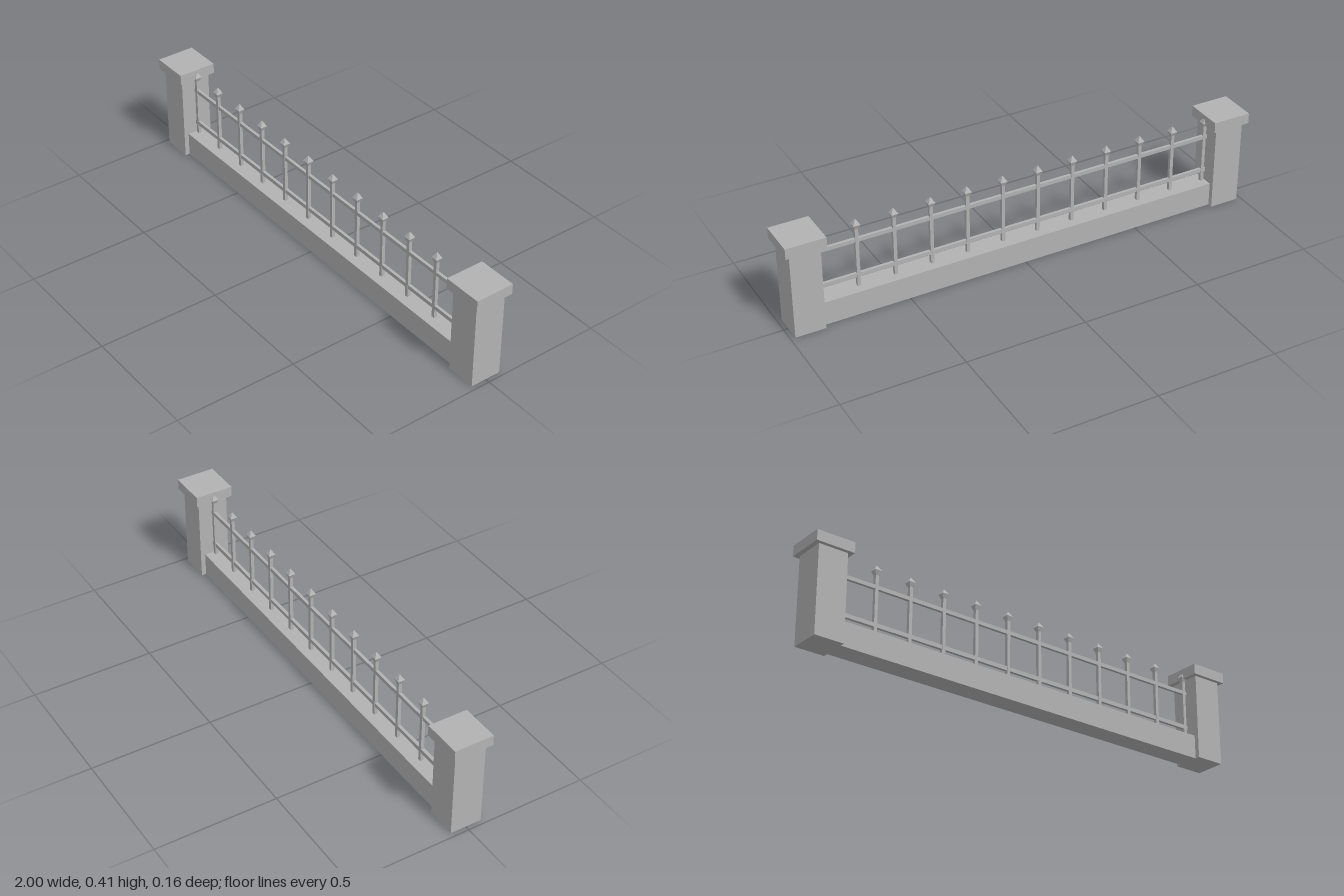
import * as THREE from 'three';

export function createModel() {
  const model = new THREE.Group();
  model.name = 'fence';
  const stone = new THREE.MeshStandardMaterial({ color: 0xb2b2b2 });
  stone.name = 'grey';
  stone.flatShading = true;

  // Box given by its centre in x, its bottom and top, and its width and depth
  const box = (name, x, y0, y1, width, depth, parent = model) => {
    const mesh = new THREE.Mesh(new THREE.BoxGeometry(width, y1 - y0, depth), stone);
    mesh.position.set(x, (y0 + y1) / 2, 0);
    mesh.name = name;
    parent.add(mesh);
  };

  // Low wall between the pillars
  box('wall', 0, 0, 0.1, 1.72, 0.09);

  // Pillars with overhanging caps
  for (const [side, s] of [['left', 1], ['right', -1]]) {
    const pillar = new THREE.Group();
    pillar.name = side + 'Pillar';
    box('post', s * 0.919, 0, 0.362, 0.124, 0.13, pillar);
    box('cap', s * 0.919, 0.362, 0.406, 0.162, 0.162, pillar);
    model.add(pillar);
  }

  // Horizontal rails
  box('lowerRail', 0, 0.139, 0.156, 1.72, 0.012);
  box('upperRail', 0, 0.294, 0.31, 1.72, 0.012);

  // Square pickets with four-sided pointed finials
  const k = Math.SQRT2;
  const profile = [[0, 0.352], [0.008 * k, 0.353], [0.0145 * k, 0.37], [0, 0.394]]
    .map(([r, y]) => new THREE.Vector2(r, y));
  const finialGeometry = new THREE.LatheGeometry(profile, 4, Math.PI / 4);
  const count = 12, spacing = 0.1533;
  for (let i = 0; i < count; i++) {
    const x = (i - (count - 1) / 2) * spacing;
    const picket = new THREE.Group();
    picket.name = 'picket' + (i + 1);
    box('bar', x, 0.1, 0.355, 0.014, 0.014, picket);
    const finial = new THREE.Mesh(finialGeometry, stone);
    finial.name = 'finial';
    finial.position.x = x;
    picket.add(finial);
    model.add(picket);
  }
  return model;
}
